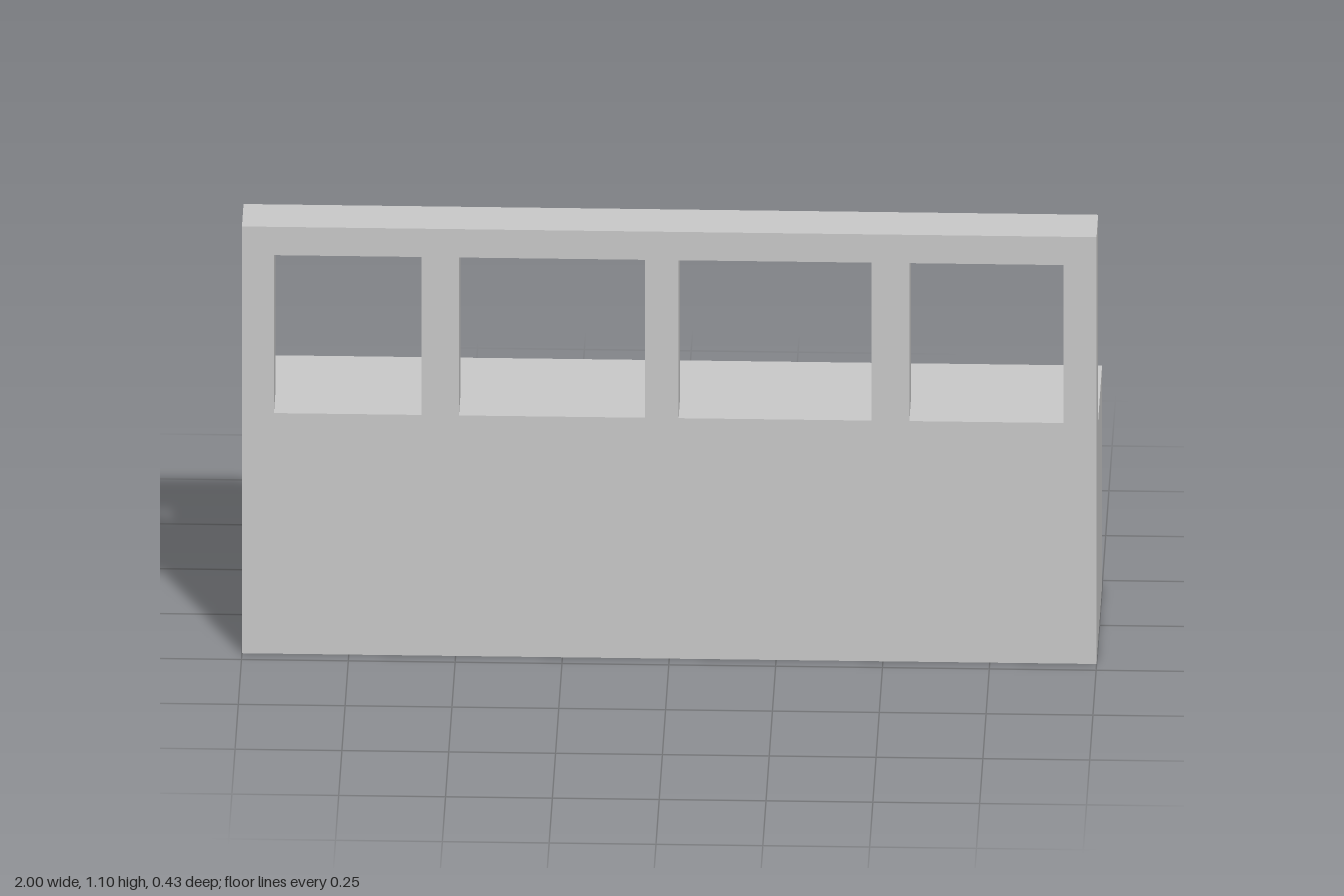
import * as THREE from 'three';

// x ranges shared by the upper windows and the rear slots
const BAYS = [[-0.925, -0.58], [-0.492, -0.057], [0.022, 0.473], [0.562, 0.923]];
const FRONT = 0.215, STEP = 0.09, BACK = -0.215;

function rect(path, x0, x1, y0, y1) {
  path.moveTo(x0, y0);
  path.lineTo(x1, y0);
  path.lineTo(x1, y1);
  path.lineTo(x0, y1);
  path.closePath();
  return path;
}

// full-width slab of given height, pierced in every bay between y0 and y1
function piercedSlab(name, height, y0, y1, zBack, zFront, material) {
  const shape = rect(new THREE.Shape(), -1, 1, 0, height);
  for (const [a, b] of BAYS) shape.holes.push(rect(new THREE.Path(), a, b, y0, y1));
  const geometry = new THREE.ExtrudeGeometry(shape, { depth: zFront - zBack, bevelEnabled: false });
  geometry.translate(0, 0, zBack);
  const mesh = new THREE.Mesh(geometry, material);
  mesh.name = name;
  return mesh;
}

export function createModel() {
  const group = new THREE.Group();
  group.name = 'windowedCounter';
  const material = new THREE.MeshStandardMaterial({ color: 0xcccccc, flatShading: true });

  // tall front wall with four windows
  group.add(piercedSlab('frontWall', 1.1, 0.62, 1.027, STEP, FRONT, material));
  // low rear counter with four slots, closed at their inner end by the wall
  group.add(piercedSlab('rearCounter', 0.57, 0.407, 0.507, BACK, STEP, material));

  return group;
}
